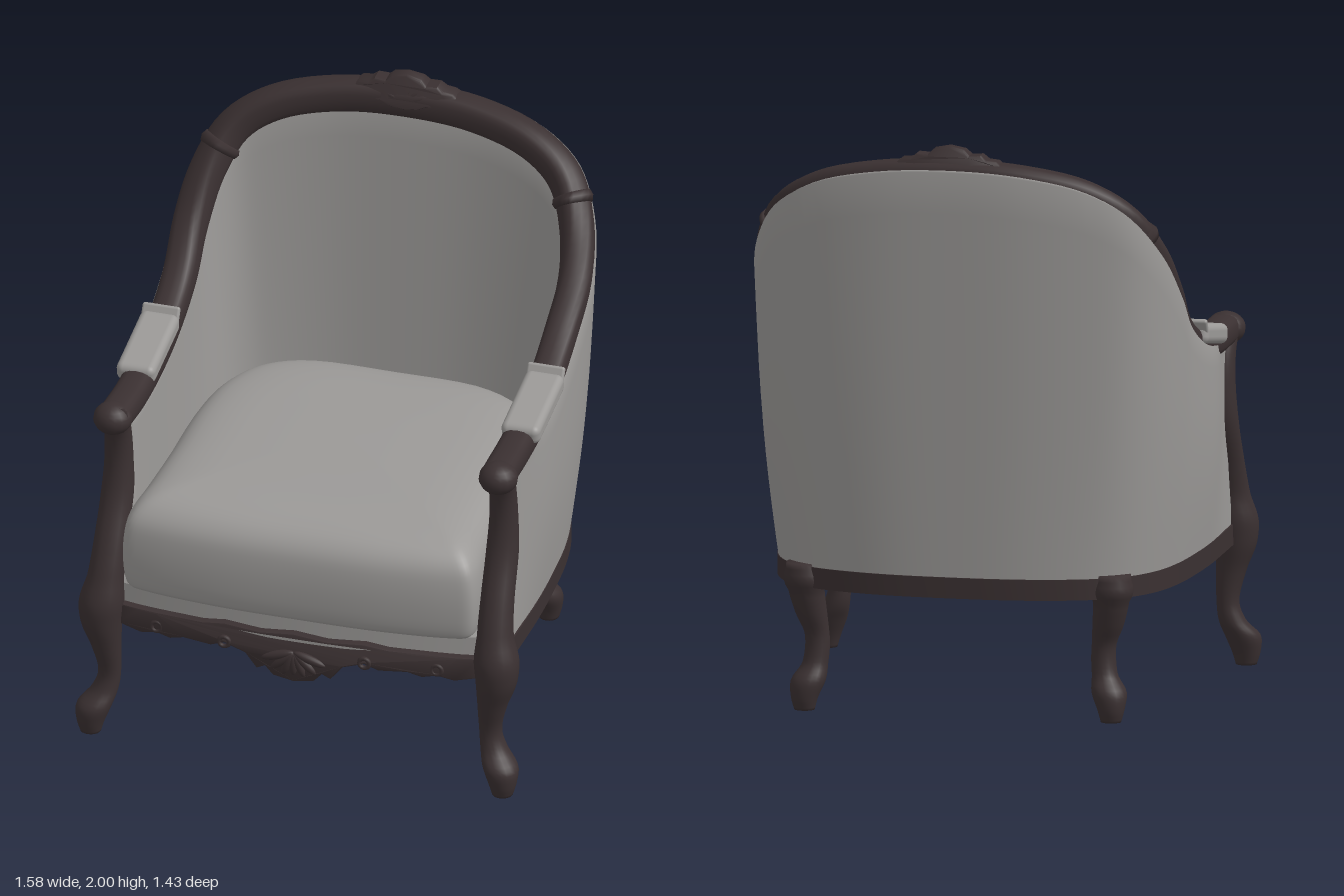
import * as THREE from 'three';
import { toCreasedNormals } from 'three/addons/utils/BufferGeometryUtils.js';
import { RoundedBoxGeometry } from 'three/addons/geometries/RoundedBoxGeometry.js';

const V = (x, y, z) => new THREE.Vector3(x, y, z);

// Half a list of points, from +x to the middle, completed by its mirror image
const mirrored = half => [...half, ...half.slice(0, -1).reverse().map(([x, ...rest]) => [-x, ...rest])];
const curve = (pts, closed = false) => new THREE.CatmullRomCurve3(pts.map(p => V(...p)), closed, 'centripetal');

// Surface through rows of points; closed rows get caps at the chosen ends and are turned outwards
function loft(rows, closed = true, caps = [0, rows.length - 1]) {
  const n = rows[0].length, pos = [], idx = [];
  rows.forEach(r => r.forEach(p => pos.push(p.x, p.y, p.z)));
  for (let i = 0; i < rows.length - 1; i++)
    for (let j = 0; j < (closed ? n : n - 1); j++) {
      const a = i * n + j, b = i * n + (j + 1) % n;
      idx.push(a, b, b + n, a, b + n, a + n);
    }
  if (closed) {
    for (const i of caps) {
      const c = rows[i].reduce((s, p) => s.add(p), V(0, 0, 0)).divideScalar(n), k = pos.length / 3;
      pos.push(c.x, c.y, c.z);
      for (let j = 0; j < n; j++) {
        const a = i * n + j, b = i * n + (j + 1) % n;
        if (i) idx.push(k, a, b); else idx.push(k, b, a);
      }
    }
    let vol = 0;
    const at = k => V(pos[k * 3], pos[k * 3 + 1], pos[k * 3 + 2]);
    for (let t = 0; t < idx.length; t += 3) vol += at(idx[t]).dot(at(idx[t + 1]).cross(at(idx[t + 2])));
    if (vol < 0) idx.reverse();
  }
  const g = new THREE.BufferGeometry();
  g.setAttribute('position', new THREE.Float32BufferAttribute(pos, 3));
  g.setIndex(idx);
  g.computeVertexNormals();
  return g;
}

// Rounded-square ring round c, spanned by the axes a and b
function ring(c, a, b, ra, rb, power = 0.75, n = 20) {
  const f = t => Math.sign(t) * Math.abs(t) ** power;
  return Array.from({ length: n }, (_, i) => {
    const t = (i / n) * Math.PI * 2;
    return c.clone().addScaledVector(a, ra * f(Math.cos(t))).addScaledVector(b, rb * f(Math.sin(t)));
  });
}

// Upright leg or post through [x, y, z, radius] stations
function legGeometry(stations, side) {
  const path = curve(stations.map(([x, y, z]) => [x * side, y, z]));
  const radii = curve(stations.map(s => [s[3], 0, 0]));
  const steps = stations.length * 4;
  return loft(Array.from({ length: steps + 1 }, (_, i) => {
    const r = radii.getPoint(i / steps).x;
    return ring(path.getPoint(i / steps), V(1, 0, 0), V(0, 0, 1), r, r, 0.97);
  }));
}

export function createModel() {
  const model = new THREE.Group();
  const wood = new THREE.MeshStandardMaterial({ color: 0x3a3031 });
  wood.name = 'darkWood';
  const fabric = new THREE.MeshStandardMaterial({ color: 0x9b9997, side: THREE.DoubleSide });
  fabric.name = 'greyFabric';
  const add = (name, geometry, material, parent = model) => {
    const m = new THREE.Mesh(geometry, material);
    m.name = name;
    parent.add(m);
    return m;
  };

  // Centre lines of the show-wood top rail and the seat rail, station by station
  const top = curve(mirrored([[0.685, 1.185, 0.57], [0.682, 1.18, 0.48], [0.68, 1.175, 0.37], [0.68, 1.185, 0.2],
    [0.68, 1.228, 0], [0.68, 1.325, -0.2], [0.685, 1.46, -0.35], [0.657, 1.61, -0.46], [0.588, 1.74, -0.545],
    [0.46, 1.825, -0.595], [0.25, 1.875, -0.635], [0, 1.89, -0.645]]));
  const base = curve(mirrored([[0.67, 0.465, 0.63], [0.675, 0.465, 0.56], [0.68, 0.465, 0.4], [0.685, 0.465, 0.2],
    [0.68, 0.465, 0], [0.665, 0.465, -0.2], [0.63, 0.465, -0.36], [0.57, 0.465, -0.47], [0.5, 0.465, -0.53],
    [0.4, 0.465, -0.575], [0.22, 0.465, -0.615], [0, 0.465, -0.625]]));
  const STATIONS = 22;
  const outward = u => { const t = base.getTangent(u); return V(-t.z, 0, t.x).normalize(); };
  const span = (from, to, steps) => Array.from({ length: steps + 1 }, (_, i) => from + (to - from) * i / steps);
  const railRing = (u, ra, rb) => {
    const t = top.getTangent(u), n = outward(u);
    n.addScaledVector(t, -n.dot(t)).normalize();
    return ring(top.getPoint(u), n, t.clone().cross(n), ra, rb);
  };

  // Top rail with arms
  add('topRail', loft(span(0, 1, 110).map(u => railRing(u, 0.058, 0.05 + 0.01 * Math.sin(Math.PI * u)))), wood);

  // Slim seat rail round the sides and back
  add('seatRail', toCreasedNormals(loft(span(0, 1, 110).map(u => {
    const p = base.getPoint(u), n = outward(u);
    return [[0.037, 1], [0.037, -1], [-0.005, -1], [-0.005, 1]].map(([a, b]) =>
      p.clone().addScaledVector(n, a).add(V(0, b * 0.036, 0)));
  })), 0.6), wood);

  // Upholstered shell: up the inside, over the rim, down the outside; its front edge follows the arm post
  add('upholsteredShell', loft(span(1 / STATIONS, 1 - 1 / STATIONS, 100).map(u => {
    const b = base.getPoint(u), t = top.getPoint(u), n = outward(u), row = [];
    const back = n.z * n.z, front = THREE.MathUtils.smoothstep(b.z, 0.1, 0.56);
    const wall = (v, off, lift = 0) => b.clone().lerp(t, v).addScaledVector(n, off)
      .add(V(0, lift, front * (0.02 * (1 - v) - 0.04 * Math.sin(Math.PI * v))));
    for (let i = 2; i <= 10; i++) row.push(wall(i / 10, -0.07 - 0.022 * back + (0.03 + 0.022 * back) * i / 10));
    row.push(wall(1, 0, 0.032 * back), wall(1, 0.05, 0.03 * back));
    for (let i = 10; i >= 0; i--) {
      const v = i / 10, bulge = 0.018 * Math.sin(Math.PI * v) * Math.abs(n.x);
      row.push(wall(v, 0.03 + (0.035 + 0.008 * back) * v + bulge - front * (0.04 * v + bulge), 0.025 * back * v));
    }
    return row;
  }), false), fabric);

  // Loose seat cushion, open below: plan outline stacked through a domed profile
  const plan = curve(mirrored([[0, 0, 0.7], [0.3, 0, 0.695], [0.55, 0, 0.668], [0.615, 0, 0.648], [0.632, 0, 0.6],
    [0.625, 0, 0.45], [0.615, 0, 0.2], [0.61, 0, -0.1], [0.58, 0, -0.3], [0.5, 0, -0.45], [0.35, 0, -0.535],
    [0, 0, -0.55]]).slice(0, -1), true).getPoints(96).slice(0, -1);
  const profile = curve([[0.97, 0.575, 0], [0.985, 0.59, 0], [1, 0.65, 0], [1, 0.76, 0], [0.975, 0.84, 0],
    [0.9, 0.895, 0], [0.75, 0.926, 0], [0.4, 0.94, 0], [0.05, 0.943, 0]]).getPoints(32);
  const layers = profile.map(({ x: s, y }) => plan.map(p => V(p.x * s, y, 0.05 + (p.z - 0.05) * s)));
  add('seatCushion', loft(layers, true, [layers.length - 1]), fabric);

  // Bowed front: fabric band above a carved apron
  const bow = x => 0.685 - 0.065 * (x / 0.64) ** 2;
  add('frontBand', toCreasedNormals(loft(span(-0.64, 0.64, 24).map(x => {
    const z = bow(x) - 0.014;
    return [V(x, 0.48, z), V(x, 0.57, z), V(x, 0.595, z - 0.02), V(x, 0.595, z - 0.04), V(x, 0.48, z - 0.04)];
  })), 0.6), fabric);

  const outline = pts => new THREE.Shape(pts.map(p => new THREE.Vector2(...p)));
  // Carved board cut from an outline, with each vertex's z set by a rule
  const carved = (pts, depth, bevelThickness, rule) => {
    const g = new THREE.ExtrudeGeometry(outline(pts), { depth, bevelThickness, bevelSize: 0.006, bevelSegments: 2 });
    const p = g.attributes.position;
    for (let i = 0; i < p.count; i++) p.setZ(i, rule(p.getX(i), p.getY(i), p.getZ(i) - depth / 2));
    g.computeVertexNormals();
    return toCreasedNormals(g, 0.7);
  };
  const apronTop = mirrored([[0.64, 0.495], [0.57, 0.495], [0.5, 0.497], [0.42, 0.5], [0.33, 0.502],
    [0.25, 0.515], [0.12, 0.507], [0, 0.52]]);
  const apronLow = mirrored([[0.64, 0.43], [0.56, 0.415], [0.5, 0.43], [0.45, 0.42], [0.4, 0.435], [0.3, 0.43],
    [0.25, 0.45], [0.17, 0.425], [0.13, 0.375], [0.1, 0.39], [0.07, 0.357], [0, 0.345]]);
  add('frontApron', carved([...apronTop, ...apronLow.reverse()], 0.05, 0.008, (x, y, z) => z + bow(x) - 0.018), wood);

  // Fan of carved lobes, spread round a centre
  const blob = new THREE.SphereGeometry(1, 16, 12);
  function fan(name, x, y, z, length, flip, lean) {
    const g = new THREE.Group();
    g.name = name;
    g.position.set(x, y, z);
    g.rotation.x = lean;
    for (let i = -3; i <= 3; i++) {
      const a = i * 0.42, l = length * (1 + 0.12 * Math.abs(i));
      const lobe = add('carvedLobe', blob, wood, g);
      lobe.scale.set(0.016, l / 2, 0.016);
      lobe.rotation.z = -a * flip;
      lobe.position.set(Math.sin(a) * l / 2, Math.cos(a) * l / 2 * flip, 0);
    }
    model.add(g);
  }
  fan('apronShell', 0, 0.45, 0.692, 0.09, -1, 0);

  // Crest on the top rail, thinning towards its peak and its ends
  const crestTop = mirrored([[0.185, 1.93], [0.165, 1.945], [0.13, 1.948], [0.11, 1.965], [0.07, 1.962],
    [0.05, 1.982], [0, 1.992]]);
  const crestLow = mirrored([[0.15, 1.92], [0.13, 1.905], [0.08, 1.905], [0.05, 1.89], [0, 1.885]]);
  add('crest', carved([...crestTop, ...crestLow.reverse()], 0.07, 0.018, (x, y, z) =>
    -0.642 + z * (1.15 - 8.5 * Math.max(0, y - 1.91)) * (1 - 10 * x * x)), wood);
  fan('crestShell', 0, 1.905, -0.6, 0.08, 1, -0.45);

  for (const side of [1, -1]) {
    const s = side > 0 ? 'left' : 'right';
    // Cabriole front leg running up into the arm post
    add(s + 'FrontLegAndPost', legGeometry([[0.735, 0, 0.657, 0.036], [0.735, 0.04, 0.657, 0.048],
      [0.725, 0.1, 0.648, 0.061], [0.695, 0.155, 0.622, 0.047], [0.68, 0.22, 0.615, 0.039], [0.69, 0.33, 0.625, 0.052],
      [0.705, 0.42, 0.63, 0.071], [0.705, 0.5, 0.628, 0.078], [0.695, 0.6, 0.61, 0.062], [0.69, 0.71, 0.57, 0.058],
      [0.687, 0.87, 0.5, 0.056], [0.687, 1, 0.485, 0.049], [0.687, 1.1, 0.497, 0.047], [0.688, 1.18, 0.53, 0.05]], side), wood);
    // Back leg
    add(s + 'BackLeg', legGeometry([[0.537, 0, -0.53, 0.035], [0.537, 0.04, -0.53, 0.046], [0.527, 0.1, -0.515, 0.06],
      [0.507, 0.16, -0.495, 0.044], [0.502, 0.25, -0.487, 0.042], [0.52, 0.33, -0.5, 0.054],
      [0.535, 0.42, -0.515, 0.062], [0.54, 0.51, -0.518, 0.062]], side), wood);
    // Rounded arm end
    const knob = add(s + 'ArmEnd', blob, wood);
    knob.scale.set(0.068, 0.057, 0.066);
    knob.position.set(0.688 * side, 1.183, 0.552);
    // Arm pad with raised back lip
    const pad = add(s + 'ArmPad', new RoundedBoxGeometry(0.138, 0.07, 0.32, 4, 0.025), fabric);
    pad.position.set(0.687 * side, 1.235, 0.148);
    pad.rotation.x = 0.17;
    const lip = add(s + 'ArmPadLip', new RoundedBoxGeometry(0.134, 0.065, 0.02, 3, 0.009), fabric);
    lip.position.set(0.687 * side, 1.283, 0);
    lip.rotation.x = -0.5;
    // Carved collar where the arm meets the back
    const u = side > 0 ? 7.5 / STATIONS : 1 - 7.5 / STATIONS;
    add(s + 'Collar', loft([[-0.005, 0.062], [0, 0.068], [0.005, 0.062]].map(([d, r]) => railRing(u + d, r, r))), wood);
    // Apron scrolls
    for (const x of [0.5, 0.25])
      add(s + 'ApronScroll', new THREE.TorusGeometry(0.018, 0.008, 8, 20), wood).position.set(x * side, 0.447, bow(x) + 0.01);
  }
  return model;
}
